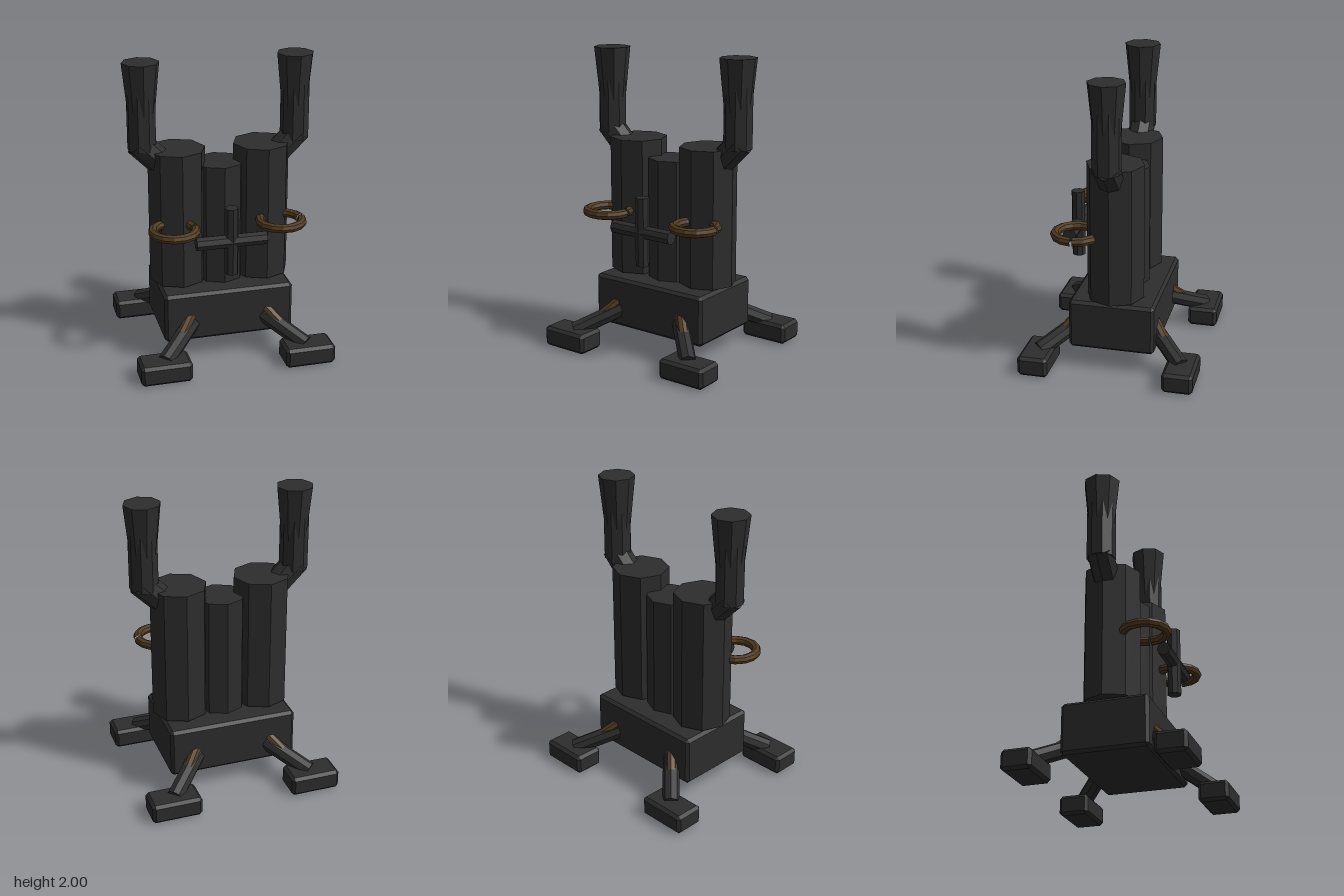
import * as THREE from 'three';
import { ConvexGeometry } from 'three/addons/geometries/ConvexGeometry.js';

const iron = new THREE.MeshStandardMaterial({ color: 0x2d2d2d, flatShading: true });
iron.name = 'dark iron';
const brass = new THREE.MeshStandardMaterial({ color: 0x513b20, flatShading: true });
brass.name = 'aged brass';

// Box with every edge cut at 45 degrees
function chamferBox(w, h, d, c) {
  const pts = [];
  for (const x of [-1, 1]) for (const y of [-1, 1]) for (const z of [-1, 1]) {
    const [a, b, e] = [w / 2, h / 2, d / 2];
    pts.push(
      new THREE.Vector3(x * a, y * (b - c), z * (e - c)),
      new THREE.Vector3(x * (a - c), y * b, z * (e - c)),
      new THREE.Vector3(x * (a - c), y * (b - c), z * e)
    );
  }
  return new ConvexGeometry(pts);
}

export function createModel() {
  const model = new THREE.Group();
  model.name = 'pipeMachine';

  function add(name, geometry, material, x = 0, y = 0, z = 0) {
    const mesh = new THREE.Mesh(geometry, material);
    mesh.name = name;
    mesh.position.set(x, y, z);
    model.add(mesh);
    return mesh;
  }

  // Eight-sided rod running from point a to point b
  function rod(name, a, b, rA, rB, material = iron, turn = 0) {
    const from = new THREE.Vector3(...a), to = new THREE.Vector3(...b);
    const dir = to.clone().sub(from);
    const geo = new THREE.CylinderGeometry(rB, rA, dir.length(), 8);
    geo.rotateY(turn);
    const mesh = add(name, geo, material);
    mesh.position.copy(from).add(to).multiplyScalar(0.5);
    mesh.quaternion.setFromUnitVectors(new THREE.Vector3(0, 1, 0), dir.normalize());
    return mesh;
  }

  // Body block and centre column
  add('base', chamferBox(0.88, 0.34, 0.576, 0.02), iron, 0, 0.31, 0);
  rod('centreColumn', [0, 0.47, 0], [0, 1.3, 0], 0.165, 0.165);

  for (const s of [-1, 1]) {
    const side = s > 0 ? 'left' : 'right';

    // Tall outer columns
    rod(side + 'Column', [s * 0.288, 0.49, 0], [s * 0.288, 1.41, 0], 0.192, 0.192);

    // Bent exhaust: slanted shoulder, straight pipe and flared stack
    rod(side + 'StackElbow', [s * 0.38, 1.307, 0], [s * 0.543, 1.47, 0], 0.089, 0.089);
    rod(side + 'StackPipe', [s * 0.515, 1.42, 0], [s * 0.515, 1.9, 0], 0.095, 0.095, iron, Math.PI / 8);
    rod(side + 'StackFlare', [s * 0.512, 1.42, 0], [s * 0.512, 2, 0], 0.064, 0.123);

    // Flat brass ring with a narrow slit
    const ring = add(side + 'Ring', new THREE.TorusGeometry(0.141, 0.031, 8, 14, 6.2), brass, s * 0.36, 0.93, 0.245);
    ring.rotation.x = Math.PI / 2;

    // Splayed legs with brass pistons and block feet
    for (const f of [-1, 1]) {
      const name = side + (f > 0 ? 'Front' : 'Back');
      rod(name + 'Leg', [s * 0.2, 0.287, f * 0.2], [s * 0.478, 0.115, f * 0.478], 0.056, 0.056);
      rod(name + 'Piston', [s * 0.22, 0.353, f * 0.22], [s * 0.38, 0.177, f * 0.38], 0.036, 0.036, brass);
      add(name + 'Foot', chamferBox(0.34, 0.136, 0.204, 0.02), iron, s * 0.488, 0.068, f * 0.485);
    }
  }

  // Crossed handle in front
  rod('handleUpright', [0, 0.63, 0.33], [0, 1.09, 0.33], 0.046, 0.046);
  rod('handleBar', [-0.236, 0.858, 0.33], [0.236, 0.858, 0.33], 0.046, 0.046);

  return model;
}
